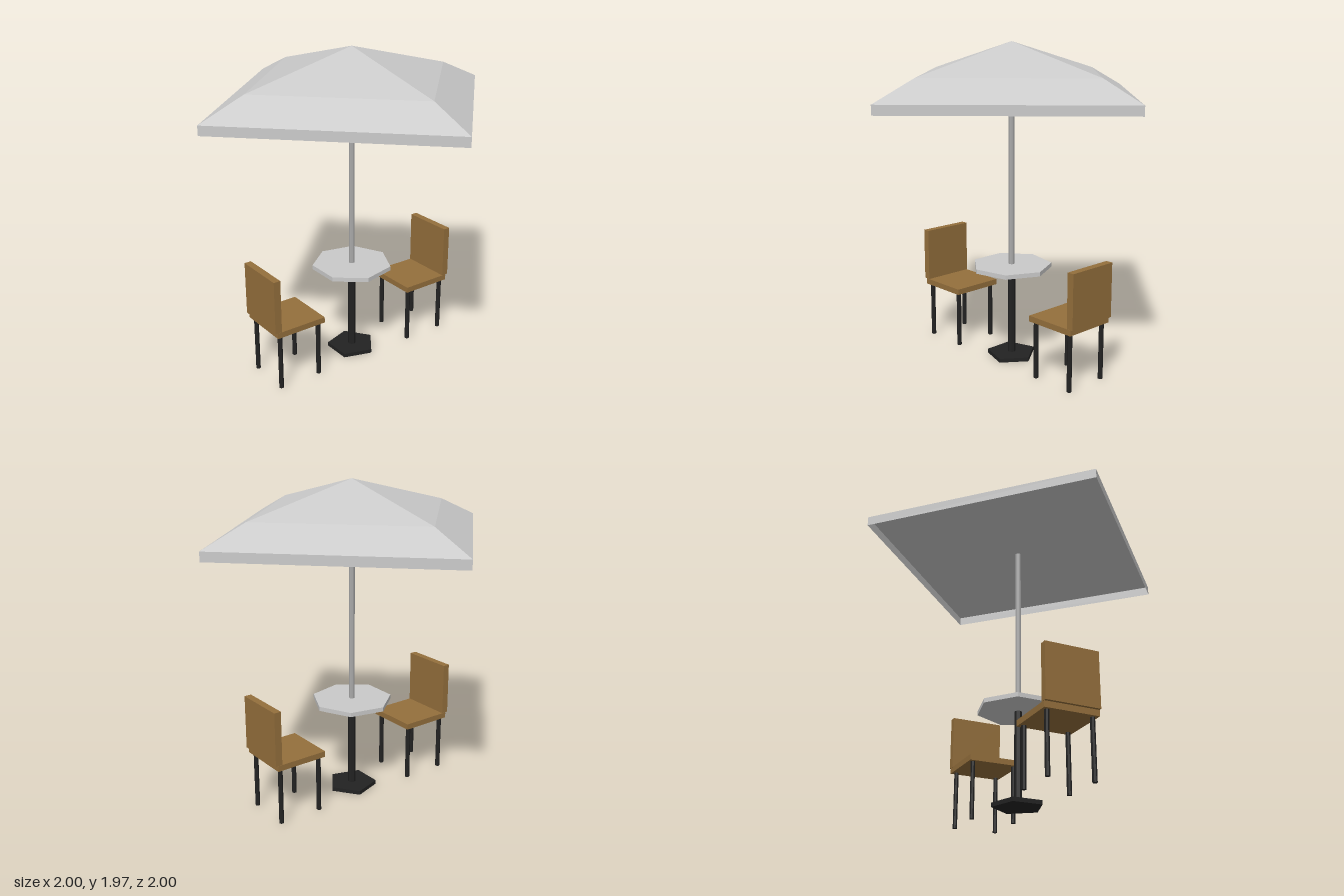
import * as THREE from 'three';

const mat = (name, color, side = THREE.FrontSide) =>
  new THREE.MeshStandardMaterial({ name, color, flatShading: true, side });

export function createModel() {
  const grey = mat('light grey', 0xcacaca, THREE.DoubleSide);
  const poleGrey = mat('pole grey', 0xaaaaaa);
  const brown = mat('wood brown', 0x946f3c);
  const black = mat('black metal', 0x222222);

  const model = new THREE.Group();
  model.name = 'patioSet';

  const add = (parent, name, geometry, material, x, y, z) => {
    const mesh = new THREE.Mesh(geometry, material);
    mesh.name = name;
    mesh.position.set(x, y, z);
    parent.add(mesh);
    return mesh;
  };
  // Upright prism between two heights, with a corner on +x
  const prism = (parent, name, material, sides, rBottom, rTop, y0, y1, open = false, x = 0, z = 0) =>
    add(parent, name,
      new THREE.CylinderGeometry(rTop, rBottom, y1 - y0, sides, 1, open).rotateY(Math.PI / 2),
      material, x, (y0 + y1) / 2, z);
  const box = (parent, name, material, x0, x1, y0, y1, width) =>
    add(parent, name, new THREE.BoxGeometry(x1 - x0, y1 - y0, width), material,
      (x0 + x1) / 2, (y0 + y1) / 2, 0);

  // Table
  const table = new THREE.Group();
  table.name = 'table';
  prism(table, 'tableFoot', black, 5, 0.155, 0.155, 0, 0.025);
  prism(table, 'tableColumn', black, 8, 0.024, 0.024, 0.025, 0.578);
  prism(table, 'tableTop', grey, 7, 0.25, 0.25, 0.578, 0.605);
  model.add(table);

  // Parasol: hanging skirt, two roof slopes, flat underside
  const parasol = new THREE.Group();
  parasol.name = 'parasol';
  prism(parasol, 'parasolPole', poleGrey, 8, 0.018, 0.018, 0.605, 1.667);
  prism(parasol, 'skirt', grey, 4, 1, 1, 1.61, 1.667, true);
  prism(parasol, 'lowerRoof', grey, 4, 1, 0.715, 1.667, 1.79, true);
  add(parasol, 'upperRoof', new THREE.ConeGeometry(0.715, 0.18, 4, 1, true), grey, 0, 1.88, 0);
  add(parasol, 'underside', new THREE.CircleGeometry(1, 4).rotateX(Math.PI / 2), grey, 0, 1.667, 0);
  model.add(parasol);

  // Two chairs facing each other across the table
  for (const [name, turn] of [['leftChair', 0], ['rightChair', Math.PI]]) {
    const chair = new THREE.Group();
    chair.name = name;
    box(chair, 'seat', brown, 0.326, 0.658, 0.355, 0.391, 0.33);
    box(chair, 'backrest', brown, 0.63, 0.674, 0.392, 0.725, 0.33);
    for (const x of [0.357, 0.628])
      for (const z of [-0.136, 0.136])
        prism(chair, 'leg', black, 8, 0.0145, 0.0145, 0, 0.355, false, x, z);
    chair.rotation.y = turn;
    model.add(chair);
  }
  return model;
}
